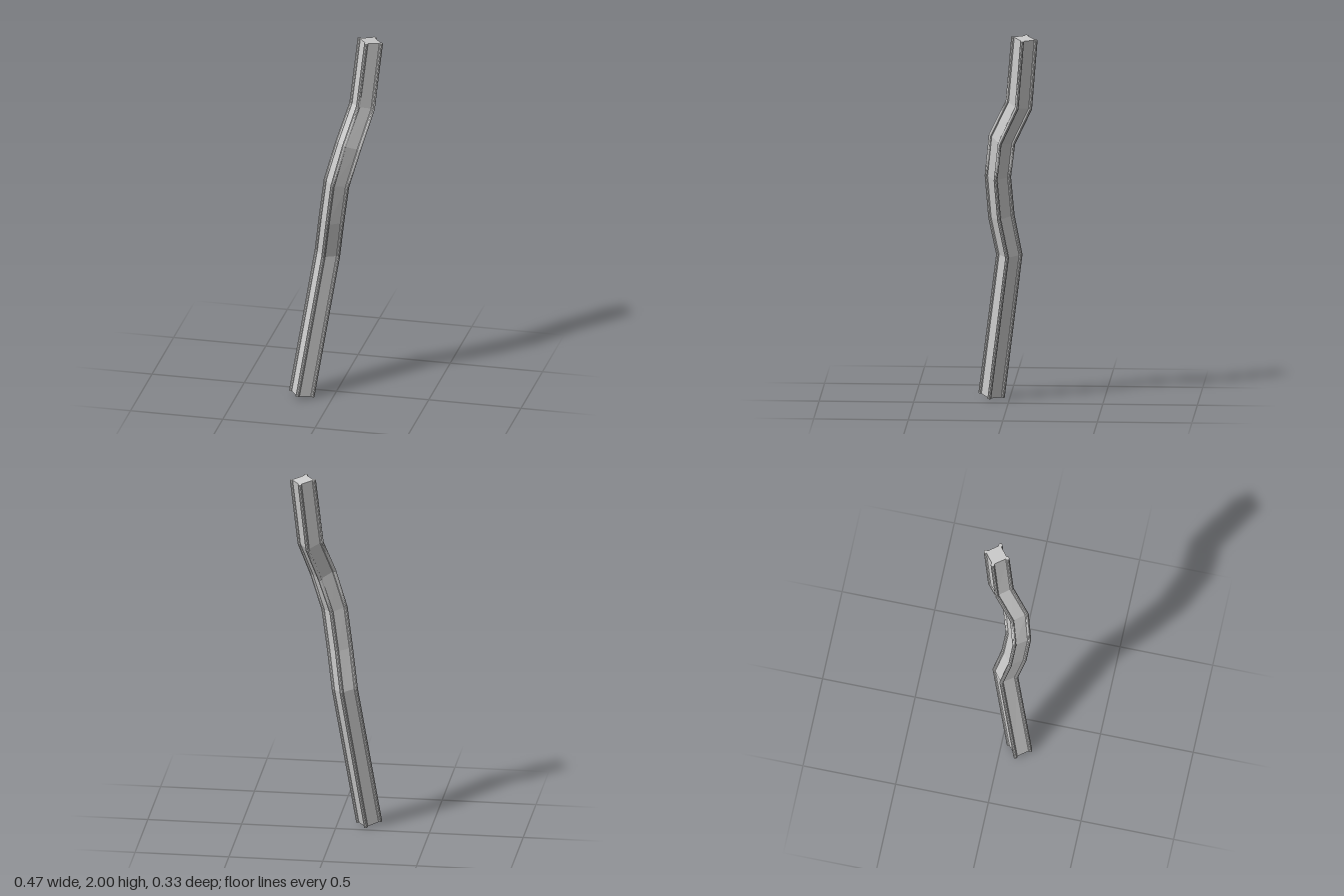
import * as THREE from 'three';

const steel = new THREE.MeshStandardMaterial({ color: 0xcccccc, flatShading: true });
steel.name = 'light grey';

// Centre line of the bent post, bottom to top
const path = [
  [-0.166, 0.0105, 0.0975], [-0.05, 0.79, -0.003], [-0.019, 1.0, 0.037], [0.0125, 1.222, 0.054],
  [0.07, 1.43, 0.029], [0.124, 1.627, -0.0635], [0.161, 1.992, -0.095],
].map((p) => new THREE.Vector3(...p));

// Section axes in plan
const U = new THREE.Vector3(0.8, 0, -0.6);
const V = new THREE.Vector3(-0.6, 0, -0.8);

// Sweeps a convex section along the path, mitred at each bend and closed at both ends
function sweep(section, name) {
  const n = section.length;
  const positions = [];
  const index = [];
  path.forEach((p, i) => {
    const normal = new THREE.Vector3();
    if (i > 0) normal.add(p.clone().sub(path[i - 1]).normalize());
    if (i < path.length - 1) normal.add(path[i + 1].clone().sub(p).normalize());
    for (const [a, b] of section) {
      const o = U.clone().multiplyScalar(a).addScaledVector(V, b);
      o.y = -o.dot(normal) / normal.y;
      positions.push(...o.add(p).toArray());
    }
  });
  for (let i = 0; i < path.length - 1; i++) {
    for (let j = 0; j < n; j++) {
      const a = i * n + j, b = i * n + (j + 1) % n;
      index.push(a, b, b + n, a, b + n, a + n);
    }
  }
  const top = (path.length - 1) * n;
  for (let j = 1; j < n - 1; j++) {
    index.push(0, j + 1, j, top, top + j, top + j + 1);
  }
  const geometry = new THREE.BufferGeometry();
  geometry.setAttribute('position', new THREE.Float32BufferAttribute(positions, 3));
  geometry.setIndex(index);
  const flat = geometry.toNonIndexed();
  flat.computeVertexNormals();
  const mesh = new THREE.Mesh(flat, steel);
  mesh.name = name;
  return mesh;
}

export function createModel() {
  const group = new THREE.Group();
  group.name = 'bentPost';
  const h = 0.043;
  const corners = [[-h, -h], [h, -h], [h, h], [-h, h]];

  // Square core
  group.add(sweep(corners, 'core'));

  // Round bead along each corner
  const r = 0.0105, sides = 10;
  corners.forEach(([a, b], k) => {
    const ring = Array.from({ length: sides }, (_, j) => {
      const t = (j / sides) * Math.PI * 2;
      return [a + r * Math.cos(t), b + r * Math.sin(t)];
    });
    group.add(sweep(ring, `cornerBead${k + 1}`));
  });
  return group;
}
